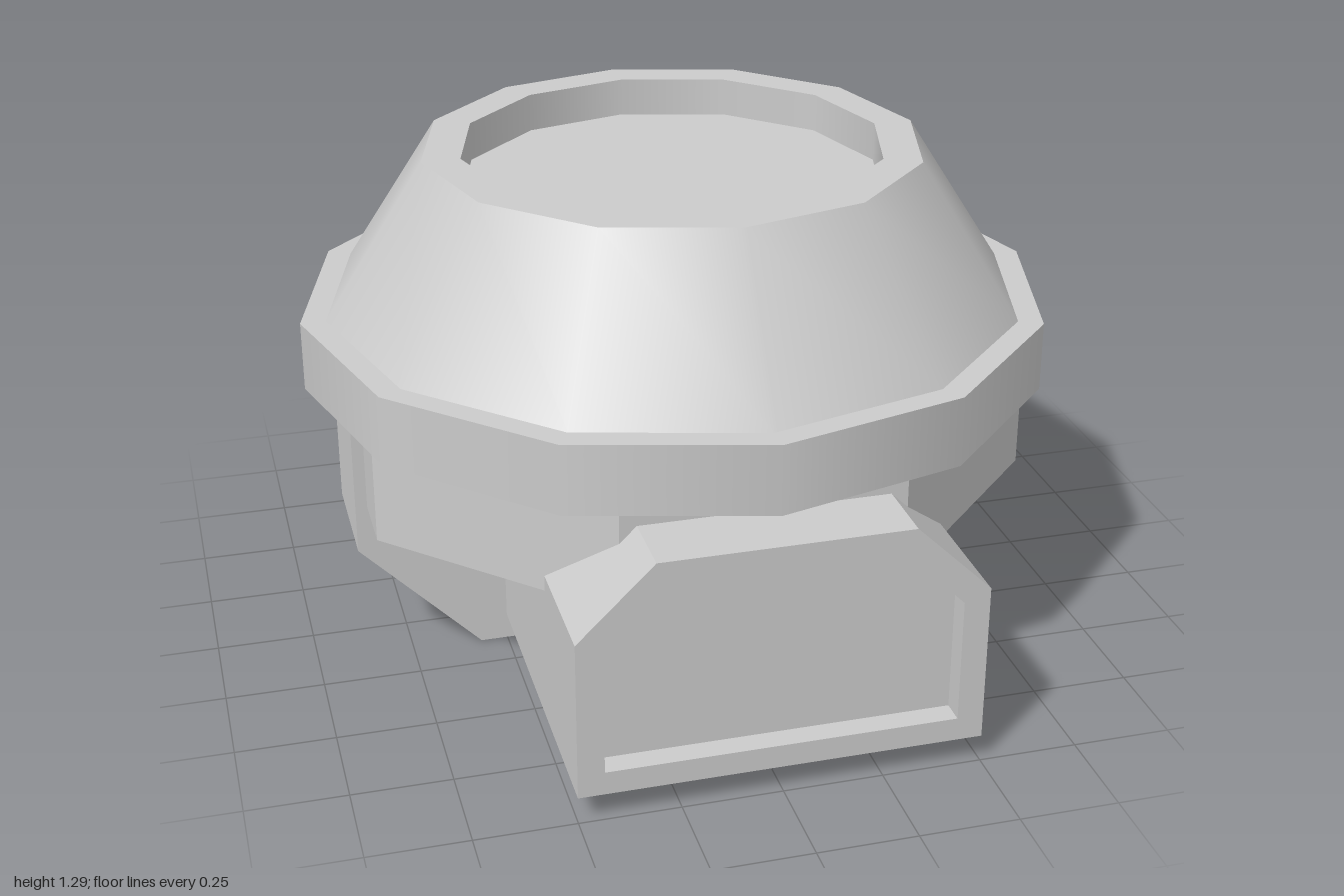
import * as THREE from 'three';
import { mergeGeometries } from 'three/addons/utils/BufferGeometryUtils.js';

const smooth = new THREE.MeshStandardMaterial({ color: 0xcccccc });
const flat = new THREE.MeshStandardMaterial({ color: 0xcccccc, flatShading: true });
const CENTRE_Z = -0.03;

// Revolve a profile: smooth around the axis, sharp at each profile corner
function revolve(profile, sides) {
  const bands = [];
  for (let i = 0; i < profile.length - 1; i++) {
    const pair = [profile[i], profile[i + 1]].map(([r, y]) => new THREE.Vector2(r, y));
    bands.push(new THREE.LatheGeometry(pair, sides));
  }
  return mergeGeometries(bands);
}

const toPoints = (list) => list.map(([x, y]) => new THREE.Vector2(x, y));

// Mirror a right-hand outline (bottom to top) into a closed symmetric outline
const mirrored = (half) => toPoints([...half, ...half.map(([x, y]) => [-x, y]).reverse()]);

// Extrude an outline from z0 to z1, optionally with a hole
function slab(outline, z0, z1, hole) {
  const shape = new THREE.Shape(outline);
  if (hole) shape.holes.push(new THREE.Path(hole));
  const geometry = new THREE.ExtrudeGeometry(shape, { depth: z1 - z0, bevelEnabled: false });
  return geometry.translate(0, 0, z0);
}

export function createModel() {
  const model = new THREE.Group();
  const add = (name, geometry, material = flat) => {
    const mesh = new THREE.Mesh(geometry, material);
    mesh.name = name;
    model.add(mesh);
    return mesh;
  };

  // Twelve-sided dome with projecting rim and sunken top
  const dome = revolve([
    [0, 0.71], [0.97, 0.71], [0.97, 0.89], [0.905, 0.89],
    [0.645, 1.29], [0.545, 1.29], [0.545, 1.19], [0, 1.19],
  ], 12);
  add('dome', dome, smooth).position.z = CENTRE_Z;

  // Octagonal collar under the rim
  const collar = new THREE.CylinderGeometry(0.92, 0.92, 0.27, 8, 1, false, Math.PI / 8);
  add('collar', collar).position.set(0, 0.575, CENTRE_Z);

  // Cross plate that carries the collar
  add('crossPlate', slab(mirrored([[0.57, 0], [0.88, 0.315], [0.88, 0.71]]), -0.19, 0.14));

  // Front housing with a recessed face
  const housing = mirrored([[0.5, 0.07], [0.5, 0.48], [0.31, 0.665]]);
  const opening = mirrored([[0.435, 0.13], [0.435, 0.45], [0.285, 0.6]]);
  add('frontHousing', slab(housing, 0, 0.94));
  add('frontFrame', slab(housing, 0.94, 1, opening));

  // Sloped block at the back, drawn from the side and turned across x
  const wedge = slab(toPoints([[0, 0.03], [0.39, 0.03], [0.71, 0.44], [0.71, 0.5], [0, 0.5]]), -0.5, 0.5);
  add('backWedge', wedge.rotateY(Math.PI / 2));

  return model;
}
